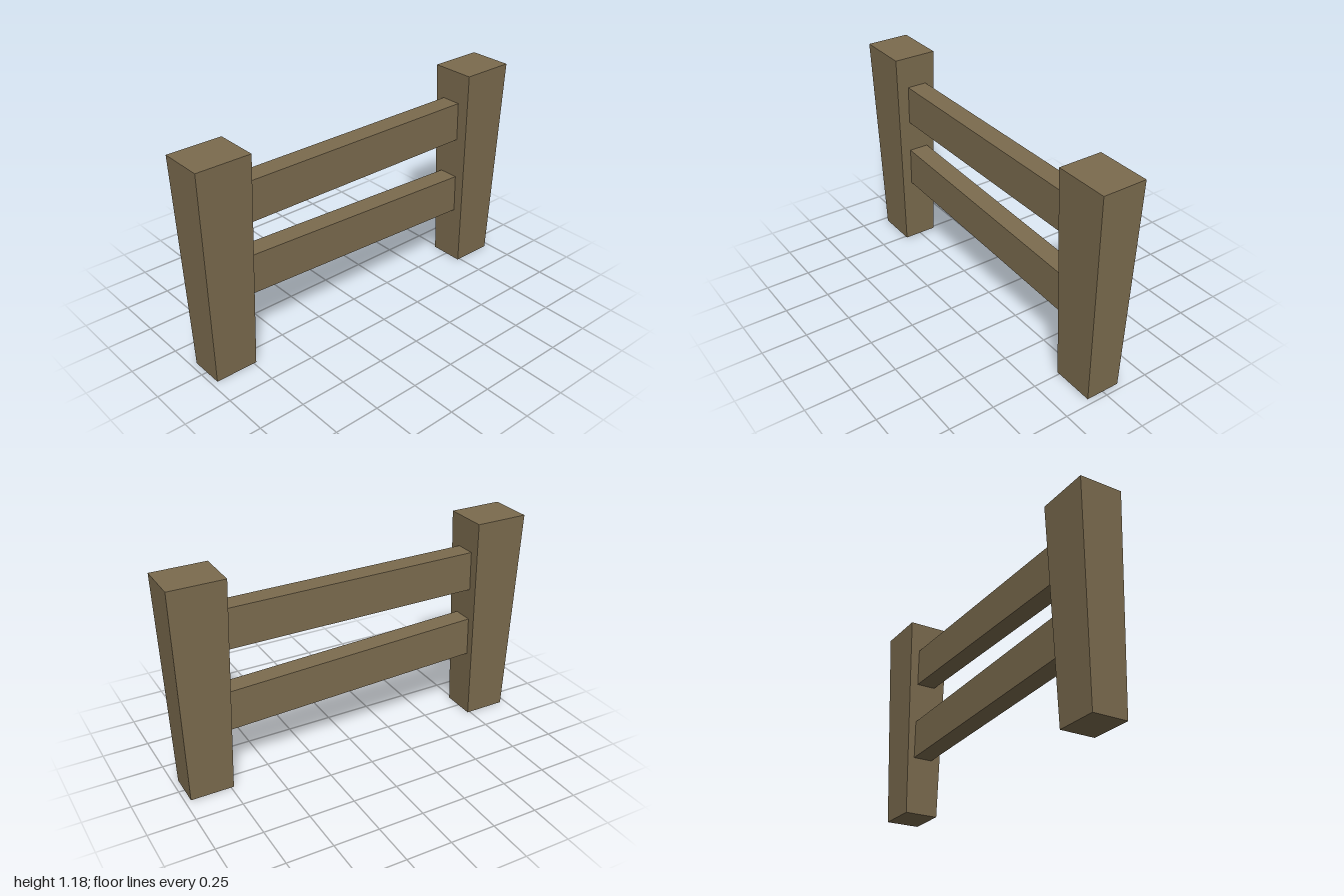
import * as THREE from 'three';

const wood = new THREE.MeshStandardMaterial({ color: 0x7b6b4e, flatShading: true });

// Moves every vertex of a geometry by a rule
function reshape(geometry, rule) {
  const p = geometry.attributes.position;
  const v = new THREE.Vector3();
  for (let i = 0; i < p.count; i++) {
    rule(v.fromBufferAttribute(p, i));
    p.setXYZ(i, v.x, v.y, v.z);
  }
  geometry.computeVertexNormals();
  return geometry;
}

// Square post that narrows towards the ground
function makePost(name, z) {
  const height = 1.177;
  const geometry = reshape(new THREE.BoxGeometry(0.24, height, 0.296), (v) => {
    if (v.y < 0) {
      v.x *= 0.79;
      v.z *= 0.79;
    }
  });
  const post = new THREE.Mesh(geometry, wood);
  post.name = name;
  post.position.set(0, height / 2, z);
  return post;
}

// Plank between the posts; slope lifts it towards the front with upright ends
function makeRail(name, y, length, slope) {
  const geometry = reshape(new THREE.BoxGeometry(0.111, 0.219, length), (v) => {
    v.y += slope * v.z;
  });
  const rail = new THREE.Mesh(geometry, wood);
  rail.name = name;
  rail.position.set(-0.007, y, 0);
  return rail;
}

export function createModel() {
  const fence = new THREE.Group();
  fence.name = 'fence';
  fence.add(
    makePost('frontPost', 0.852),
    makePost('backPost', -0.852),
    makeRail('upperRail', 0.89, 1.44, 0),
    makeRail('lowerRail', 0.463, 1.46, 0.038),
  );
  return fence;
}
